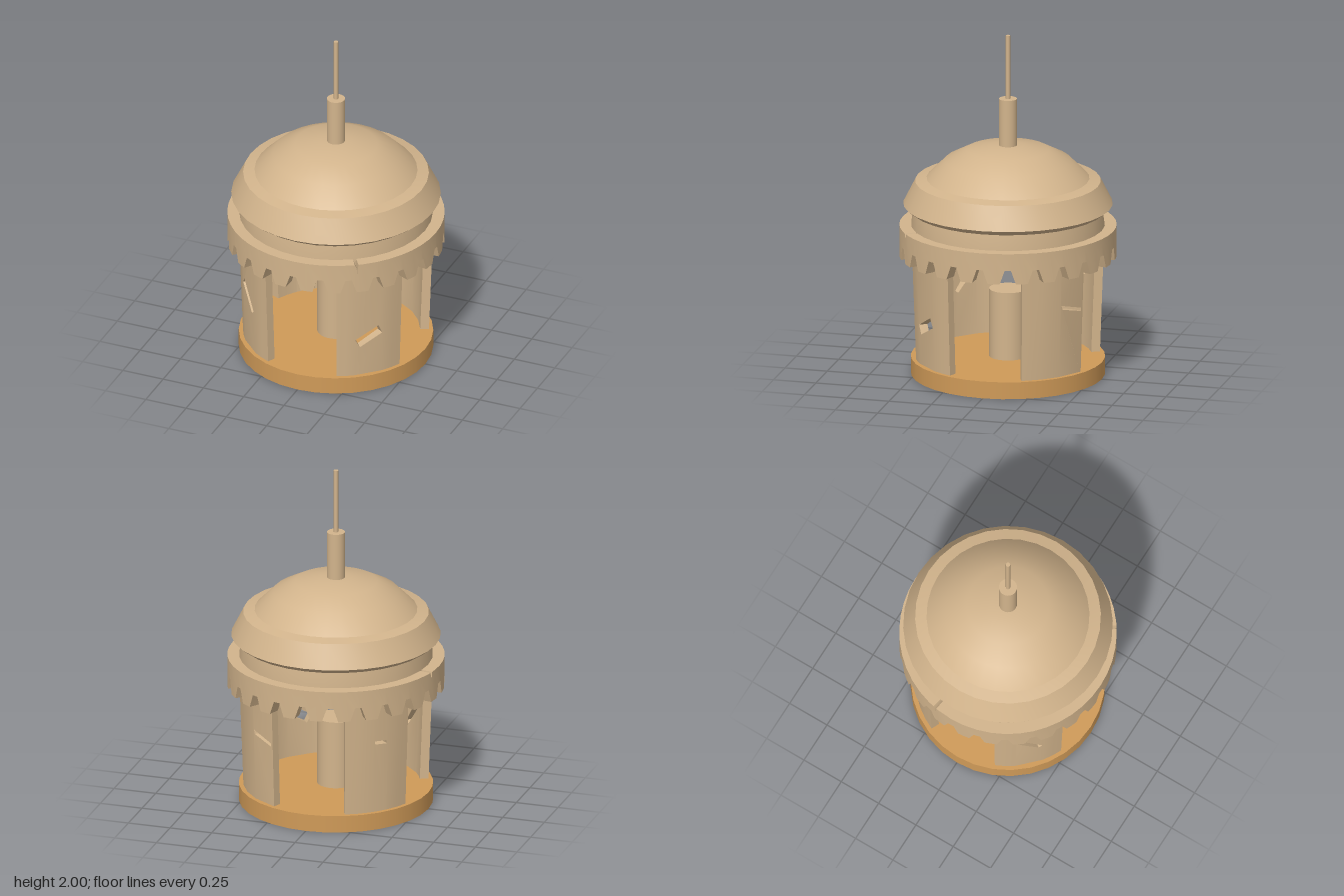
import * as THREE from 'three';
import { mergeGeometries, toCreasedNormals } from 'three/addons/utils/BufferGeometryUtils.js';

const CREASE = 0.45;
const vec = (points) => points.map(([x, y]) => new THREE.Vector2(x, y));

// Extrudes an outline given in (degrees, height) and wraps it around the y axis.
function bentPanel(outline, hole, turn, outerAt, thickness) {
  const shape = new THREE.Shape(vec(outline));
  if (hole) shape.holes.push(new THREE.Path(vec(hole)));
  const geometry = new THREE.ExtrudeGeometry(shape, { depth: 1, bevelEnabled: false });
  const p = geometry.attributes.position;
  for (let i = 0; i < p.count; i++) {
    const y = p.getY(i);
    const r = outerAt(y) - thickness * (1 - p.getZ(i));
    const a = THREE.MathUtils.degToRad(p.getX(i) + turn);
    p.setXYZ(i, r * Math.sin(a), y, r * Math.cos(a));
  }
  return geometry;
}

export function createModel() {
  const model = new THREE.Group();
  const stone = new THREE.MeshStandardMaterial({ color: 0xd2b48c });
  stone.name = 'tan stone';
  const ochre = new THREE.MeshStandardMaterial({ color: 0xcf9a58 });
  ochre.name = 'ochre floor';

  const add = (name, geometry, material) => {
    const mesh = new THREE.Mesh(geometry, material);
    mesh.name = name;
    model.add(mesh);
    return mesh;
  };
  const cylinder = (name, radius, bottom, top, material, sides = 32) => {
    const geometry = new THREE.CylinderGeometry(radius, radius, top - bottom, sides);
    add(name, geometry, material).position.y = (bottom + top) / 2;
  };

  // Round floor and central pedestal
  cylinder('floor', 0.555, 0, 0.1, ochre);
  cylinder('pedestal', 0.108, 0.1, 0.5, stone);

  // Four curved wall pillars, each pierced by a slanted slot
  const half = 21.5;
  const slots = {
    frontLeftPillar: [45, [[35, 0.335], [38, 0.285], [52.5, 0.355], [50, 0.41]]],
    backLeftPillar: [135, [[139, 0.525], [140, 0.5], [155, 0.465], [155, 0.485]]],
    backRightPillar: [225, [[222, 0.535], [222.5, 0.515], [230.5, 0.51], [230, 0.53]]],
    frontRightPillar: [315, [[307, 0.49], [320.5, 0.355], [323, 0.37], [310, 0.53]]],
  };
  const pillarRadius = (y) => 0.5265 + 0.036 * y;
  for (const [name, [centre, slot]] of Object.entries(slots)) {
    const angles = slot.map(([a]) => a);
    const low = Math.min(...angles) - 0.5;
    const high = Math.max(...angles) + 0.5;
    const start = centre - half;
    const end = centre + half;
    // Strip borders: the slot lies within a single strip
    const cuts = [start, (start + low) / 2, low, high, (high + end) / 2, end];
    const strips = [];
    for (let i = 0; i < 5; i++) {
      const [a, b] = [cuts[i], cuts[i + 1]];
      const outline = [[a, 0.1], [b, 0.1], [b, 0.8], [a, 0.8]];
      strips.push(bentPanel(outline, i === 2 ? slot : null, 0, pillarRadius, 0.05));
    }
    add(name, toCreasedNormals(mergeGeometries(strips), CREASE), stone);
  }

  // Toothed ring of 24 tapered teeth, cracked through in two places
  const teeth = [];
  const cracked = [2, 17];
  for (let i = 0; i < 24; i++) {
    for (const side of [-1, 1]) {
      const outline = [[0, 0.88], [0, 0.7], [3.2, 0.7], [5.8, 0.78], [7.5, 0.78], [7.5, 0.88]];
      if (side < 0 && cracked.includes(i)) {
        outline.push([4.2, 0.88], [3.2, 0.855], [3.1, 0.8], [2.6, 0.855], [2.2, 0.88]);
      }
      const mirrored = outline.map(([a, y]) => [a * side, y]);
      teeth.push(bentPanel(mirrored, null, 7.5 + 15 * i, () => 0.62, 0.075));
    }
  }
  add('toothedRing', toCreasedNormals(mergeGeometries(teeth), CREASE), stone);

  // Hollow roof: inner ceiling, drum wall, flared eave and dome in one profile
  const roof = new THREE.LatheGeometry(vec([
    [0, 1.28], [0.2, 1.255], [0.35, 1.18], [0.45, 1.07], [0.5, 0.95], [0.5, 0.785],
    [0.555, 0.785], [0.553, 0.88], [0.54, 0.975], [0.56, 0.975], [0.598, 1.005],
    [0.53, 1.14], [0.465, 1.155], [0.36, 1.26], [0.235, 1.325], [0.09, 1.348], [0, 1.352],
  ]), 32);
  add('roof', toCreasedNormals(roof, CREASE), stone);

  // Finial on top
  cylinder('finialBase', 0.052, 1.33, 1.625, stone, 24);
  cylinder('finialRod', 0.013, 1.625, 2, stone, 16);

  return model;
}
